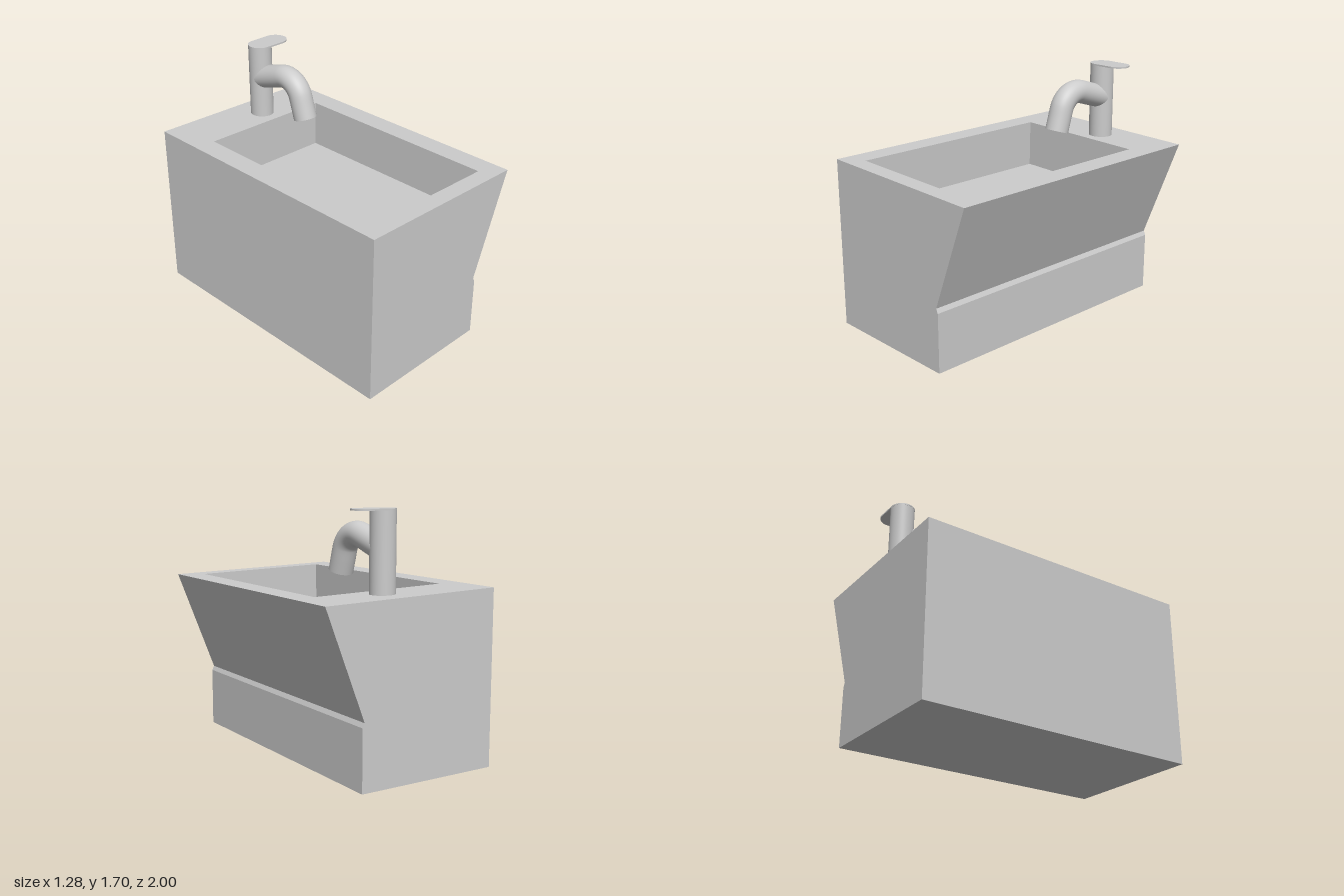
import * as THREE from 'three';

const material = new THREE.MeshStandardMaterial({ color: 0xcccccc });

function part(name, geometry) {
  const mesh = new THREE.Mesh(geometry, material);
  mesh.name = name;
  return mesh;
}

// Flat quads, corners counter-clockwise seen from outside
function quads(list) {
  const pos = [];
  for (const [a, b, c, d] of list) for (const p of [a, b, c, a, c, d]) pos.push(...p);
  const g = new THREE.BufferGeometry();
  g.setAttribute('position', new THREE.Float32BufferAttribute(pos, 3));
  g.computeVertexNormals();
  return g;
}

// Cabinet outline in x/y; the last edge is the gently sloping top
const outline = [[-0.64, 1.185], [-0.64, 0], [0.372, 0], [0.372, 0.41], [0.357, 0.44], [0.636, 1.16]];
const slope = (1.16 - 1.185) / 1.276;
const topY = (x) => 1.185 + (x + 0.64) * slope;

function createCabinet() {
  const group = new THREE.Group();
  group.name = 'cabinet';

  // Long sides and underside
  const sides = [];
  for (let i = 0; i < outline.length - 1; i++) {
    const [ax, ay] = outline[i], [bx, by] = outline[i + 1];
    sides.push([[ax, ay, 1], [ax, ay, -1], [bx, by, -1], [bx, by, 1]]);
  }
  group.add(part('cabinetSides', quads(sides)));

  // End panels
  const endShape = new THREE.Shape(outline.map((p) => new THREE.Vector2(...p)));
  const front = part('frontPanel', new THREE.ShapeGeometry(endShape));
  front.position.z = 1;
  const backGeometry = new THREE.ShapeGeometry(
    new THREE.Shape(outline.map(([x, y]) => new THREE.Vector2(-x, y))));
  const back = part('backPanel', backGeometry);
  back.rotation.y = Math.PI;
  back.position.z = -1;
  group.add(front, back);

  // Rim around the basin, and the recess cut square to the sloping top
  const depth = 0.33, shift = depth * slope;
  const ring = (x0, x1, z0, z1, drop = 0, dx = 0) =>
    [[x0, z1], [x1, z1], [x1, z0], [x0, z0]].map(([x, z]) => [x + dx, topY(x) - drop, z]);
  const outer = ring(-0.64, 0.636, -1, 1);
  const inner = ring(-0.488, 0.481, -0.64, 0.88);
  const floor = ring(-0.488, 0.481, -0.64, 0.88, depth, shift);
  const rim = [], walls = [];
  for (let i = 0; i < 4; i++) {
    const j = (i + 1) % 4;
    rim.push([outer[i], outer[j], inner[j], inner[i]]);
    walls.push([inner[i], inner[j], floor[j], floor[i]]);
  }
  group.add(part('rim', quads(rim)), part('basinWalls', quads(walls)), part('basinFloor', quads([floor])));
  return group;
}

function createFaucet() {
  const group = new THREE.Group();
  group.name = 'faucet';
  const x = 0.083, z = -0.79, r = 0.083;

  const column = part('column', new THREE.CylinderGeometry(r, r, 0.525, 48));
  column.position.set(x, 1.4225, z);
  group.add(column);

  // Spout: rises forward, bends a right angle and points down
  const tilt = Math.atan2(0.293, 0.956), bend = 0.15, tube = 0.081;
  const corner = new THREE.Vector3(x, 1.563, -0.42);
  const d1 = new THREE.Vector3(0, Math.sin(tilt), Math.cos(tilt));
  const d2 = new THREE.Vector3(0, -Math.cos(tilt), Math.sin(tilt));
  const at = (a, b) => corner.clone().addScaledVector(d1, a).addScaledVector(d2, b);
  const end = at(0, 0.302);
  const points = [at(-0.387, 0), at(-0.27, 0)];
  for (let i = 0; i <= 10; i++) {
    const t = (i / 10) * Math.PI / 2;
    points.push(at(-bend + bend * Math.sin(t), bend - bend * Math.cos(t)));
  }
  points.push(at(0, 0.22), end);
  const path = new THREE.CatmullRomCurve3(points, false, 'centripetal');
  group.add(part('spout', new THREE.TubeGeometry(path, 64, tube, 40)));

  const outlet = part('spoutOutlet', new THREE.CircleGeometry(tube, 40));
  outlet.position.copy(end);
  outlet.quaternion.setFromUnitVectors(new THREE.Vector3(0, 0, 1), d2);
  group.add(outlet);

  // Thin lever with rounded ends on top of the column
  const lever = new THREE.Shape();
  lever.absarc(0, 0, r + 0.001, Math.PI / 2, Math.PI * 1.5, false);
  lever.absarc(0.142, 0, r + 0.001, -Math.PI / 2, Math.PI / 2, false);
  const handle = part('handle', new THREE.ExtrudeGeometry(lever,
    { depth: 0.011, bevelEnabled: false, curveSegments: 24 }));
  handle.rotation.x = -Math.PI / 2;
  handle.position.set(x, 1.685, z);
  group.add(handle);
  return group;
}

export function createModel() {
  const model = new THREE.Group();
  model.name = 'washbasin';
  model.add(createCabinet(), createFaucet());
  return model;
}
